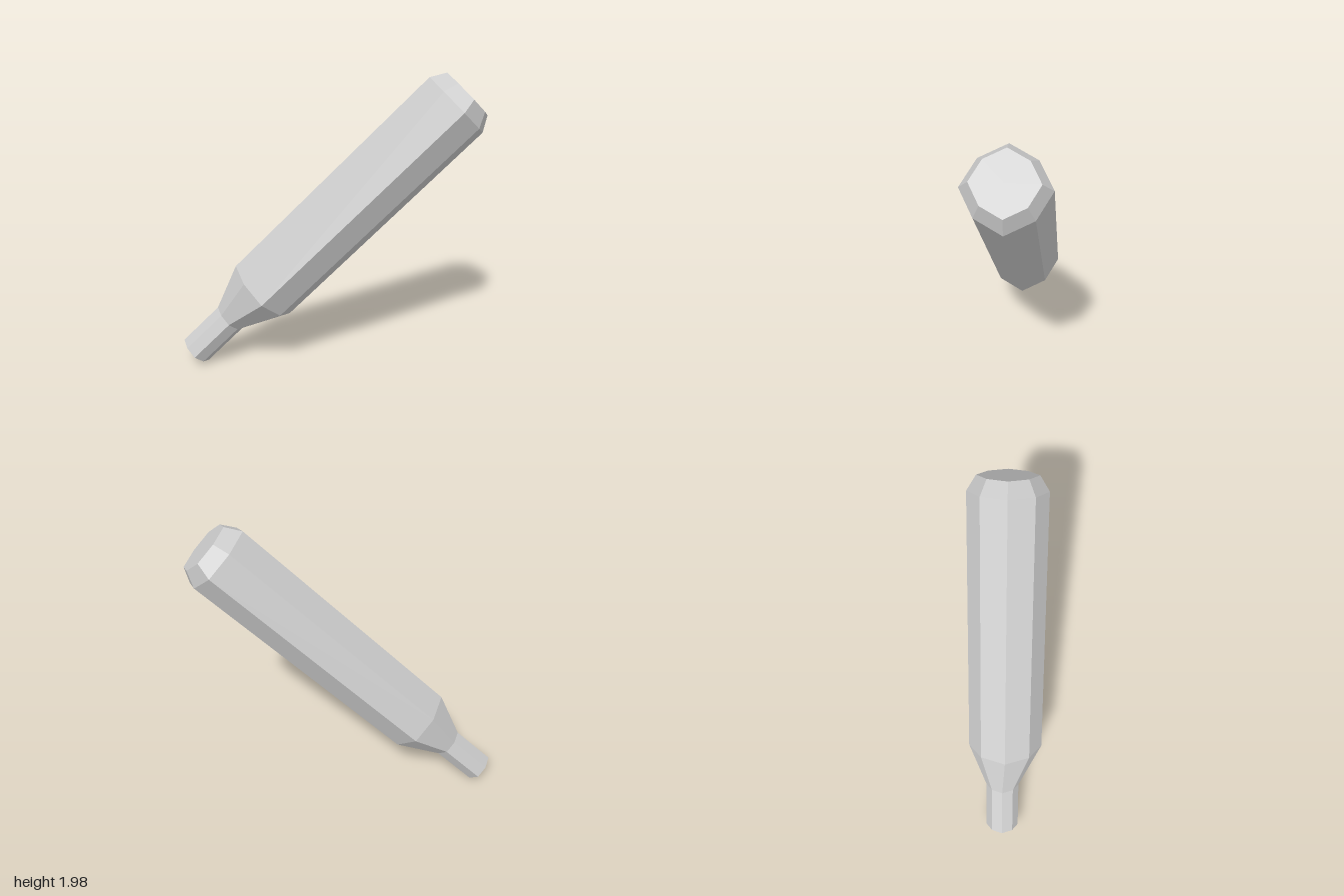
import * as THREE from 'three';

// Eight-sided ring: corners on the axes at r, the diagonal ones pulled in
function ring({ y, x, z, r }) {
  return Array.from({ length: 8 }, (_, i) => {
    const a = (i * Math.PI) / 4;
    const k = i % 2 ? r * 0.65 * Math.SQRT2 : r;
    return new THREE.Vector3(x + k * Math.cos(a), y, z + k * Math.sin(a));
  });
}

// Faceted band between two rings, optionally closed at either end
function band(name, low, high, material, closeLow = false, closeHigh = false) {
  const a = ring(low), b = ring(high), points = [];
  const lowCentre = new THREE.Vector3(low.x, low.y, low.z);
  const highCentre = new THREE.Vector3(high.x, high.y, high.z);
  for (let i = 0; i < 8; i++) {
    const j = (i + 1) % 8;
    points.push(a[i], b[i], b[j], a[i], b[j], a[j]);
    if (closeLow) points.push(lowCentre, a[i], a[j]);
    if (closeHigh) points.push(highCentre, b[j], b[i]);
  }
  const geometry = new THREE.BufferGeometry().setFromPoints(points);
  geometry.computeVertexNormals();
  const mesh = new THREE.Mesh(geometry, material);
  mesh.name = name;
  return mesh;
}

export function createModel() {
  const material = new THREE.MeshStandardMaterial({ color: 0xcccccc, flatShading: true });

  // Sections along the shaft, the thin handle slightly off centre
  const butt = { y: -0.59, x: -0.711, z: -0.017, r: 0.113 };
  const neck = { ...butt, y: -0.247 };
  const shoulder = { y: 0.067, x: -0.697, z: 0, r: 0.25 };
  const rim = { ...shoulder, y: 1.826 };
  const tip = { y: 1.922, x: -0.699, z: 0, r: 0.19 };

  // The whole club leans at 45 degrees
  const club = new THREE.Group();
  club.name = 'club';
  club.rotation.z = -Math.PI / 4;
  club.add(
    band('handle', butt, neck, material, true),
    band('taperedShoulder', neck, shoulder, material),
    band('body', shoulder, rim, material),
    band('bevelledEnd', rim, tip, material, false, true),
  );

  const model = new THREE.Group();
  model.name = 'model';
  model.add(club);
  return model;
}
